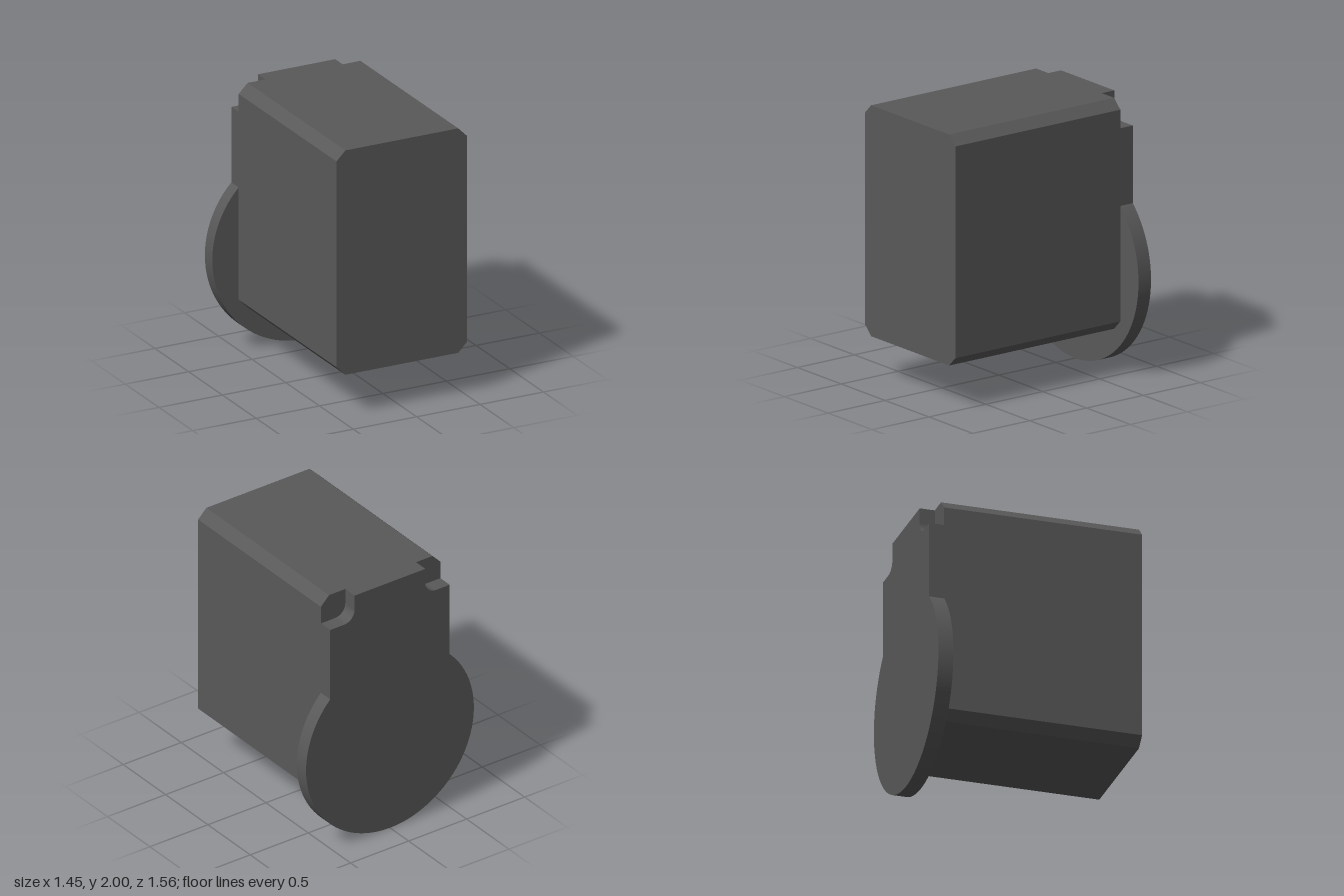
import * as THREE from 'three';
import { toCreasedNormals } from 'three/addons/utils/BufferGeometryUtils.js';

const HALF = 0.515;      // half width of body and plate neck
const BACK = -0.78, FRONT = 0.78, PLATE = 0.11;

export function createModel() {
  const group = new THREE.Group();
  const material = new THREE.MeshStandardMaterial({ color: 0x595959 });

  // Extrudes an outline along z between two depths
  const addPart = (name, shape, z0, z1, curveSegments = 1) => {
    const geometry = new THREE.ExtrudeGeometry(shape, { depth: z1 - z0, bevelEnabled: false, curveSegments });
    geometry.translate(0, 0, z0);
    const mesh = new THREE.Mesh(toCreasedNormals(geometry, 0.3), material);
    mesh.name = name;
    group.add(mesh);
  };

  // Box body with chamfered long edges
  const bottom = 0.32, top = 2, c = 0.07;
  const body = new THREE.Shape([
    [HALF - c, bottom], [HALF, bottom + c], [HALF, top - c], [HALF - c, top],
    [c - HALF, top], [-HALF, top - c], [-HALF, bottom + c], [c - HALF, bottom],
  ].map(([x, y]) => new THREE.Vector2(x, y)));
  addPart('body', body, BACK + PLATE, FRONT);

  // Back plate: round disc, straight neck, filleted notches in the top corners
  const r = 0.723, a = Math.acos(HALF / r);
  const tab = 0.305, ledge = 1.795, f = 0.09;
  const plate = new THREE.Shape();
  plate.absarc(0, r, r, a, Math.PI - a, true);
  plate.lineTo(-HALF, ledge);
  plate.absarc(-tab - f, ledge + f, f, -Math.PI / 2, 0, false);
  plate.lineTo(-tab, top);
  plate.lineTo(tab, top);
  plate.absarc(tab + f, ledge + f, f, Math.PI, Math.PI * 1.5, false);
  plate.lineTo(HALF, ledge);
  plate.closePath();
  addPart('backPlate', plate, BACK, BACK + PLATE, 64);

  return group;
}
